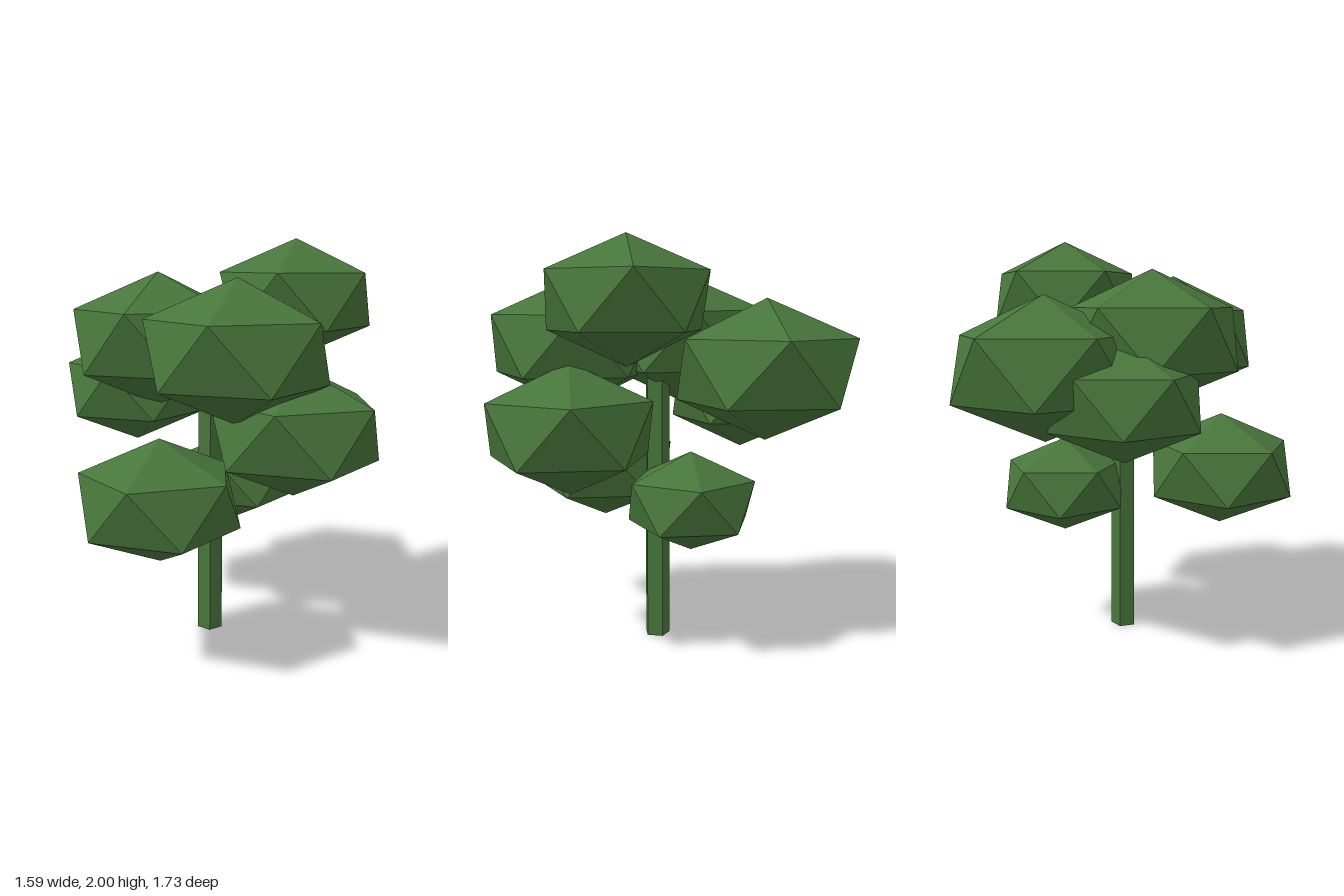
import * as THREE from 'three';

const SQUASH = 0.7; // foliage height relative to width

// Leaf clumps: centre x, y, z and radius
const CLUMPS = [
  [0.415, 1.705, 0.225, 0.42],
  [-0.12, 1.493, 0.45, 0.47],
  [-0.17, 1.511, -0.12, 0.47],
  [0.246, 1.38, -0.455, 0.485],
  [0.205, 1.103, 0.482, 0.453],
  [-0.43, 0.82, 0.285, 0.415],
  [0.305, 0.762, -0.085, 0.341],
  [-0.125, 1.236, -0.412, 0.403],
];

export function createModel() {
  const tree = new THREE.Group();
  tree.name = 'tree';

  const green = new THREE.MeshStandardMaterial({ color: 0x48763b, flatShading: true });
  green.name = 'leaf green';

  // Five-sided trunk with a flat side facing the front
  const trunkGeometry = new THREE.CylinderGeometry(0.062, 0.066, 1.715, 5);
  trunkGeometry.rotateY(Math.PI);
  const trunk = new THREE.Mesh(trunkGeometry, green);
  trunk.name = 'trunk';
  trunk.position.set(0.027, 1.715 / 2, 0.046);
  tree.add(trunk);

  // Icosahedron turned to stand on a corner, then flattened
  const clumpGeometry = new THREE.IcosahedronGeometry(1, 0);
  clumpGeometry.rotateZ(-Math.atan(2 / (1 + Math.sqrt(5))));
  clumpGeometry.scale(1, SQUASH, 1);

  // Foliage
  const foliage = new THREE.Group();
  foliage.name = 'foliage';
  CLUMPS.forEach(([x, y, z, radius], i) => {
    const clump = new THREE.Mesh(clumpGeometry, green);
    clump.name = `leafClump${i + 1}`;
    clump.position.set(x, y, z);
    clump.scale.setScalar(radius);
    foliage.add(clump);
  });
  tree.add(foliage);

  return tree;
}
